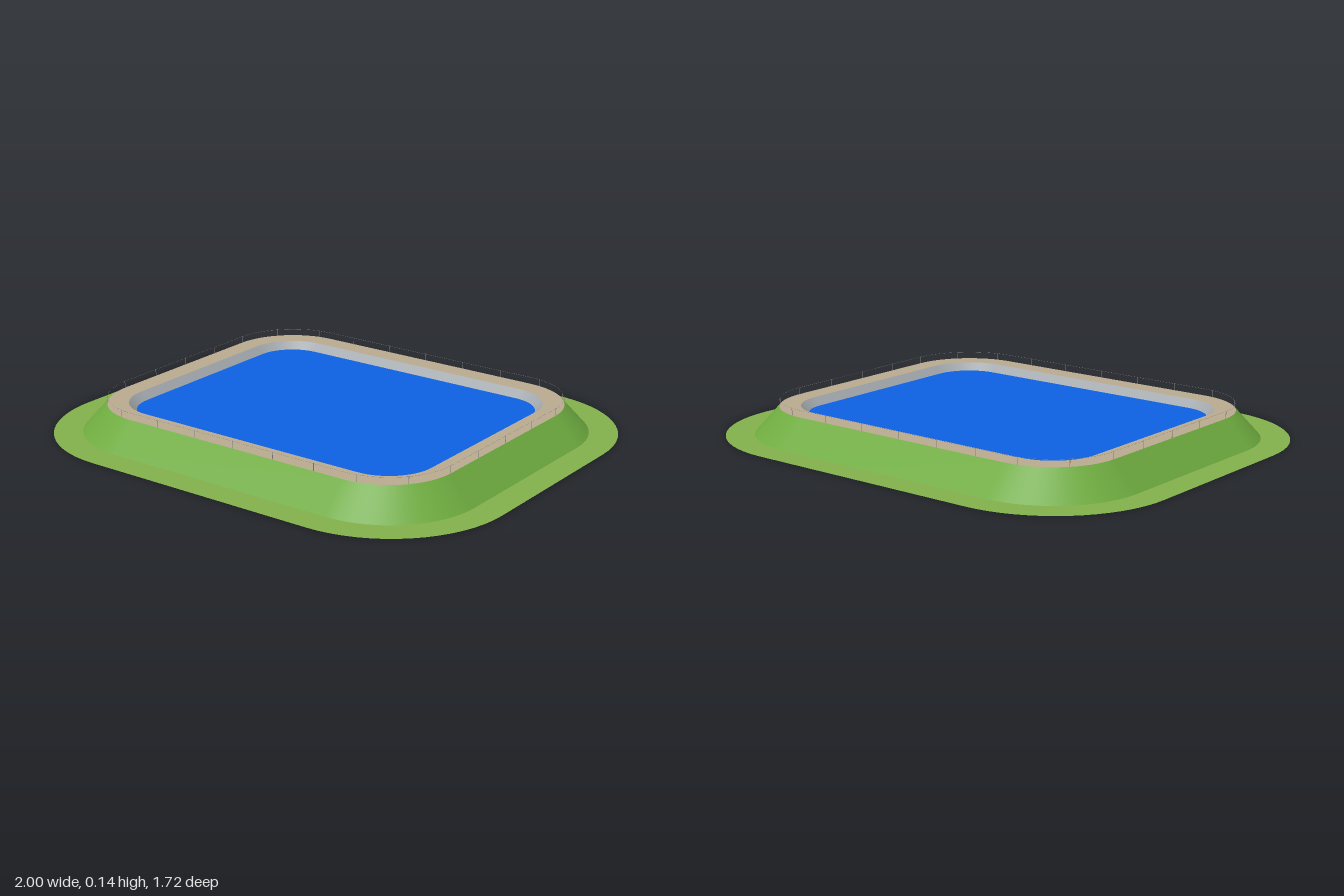
import * as THREE from 'three';

const CX = 0.51, CZ = 0.37;   // corner centres shared by every rounded outline
const STEPS = 16;             // segments per corner

// Rounded rectangle outline at height y, offset r from the corner centres
function outline(r, y) {
  const pts = [];
  [[1, 1], [-1, 1], [-1, -1], [1, -1]].forEach(([sx, sz], q) => {
    for (let i = 0; i <= STEPS; i++) {
      const a = (q + i / STEPS) * Math.PI / 2;
      pts.push(new THREE.Vector3(sx * CX + r * Math.cos(a), y, sz * CZ + r * Math.sin(a)));
    }
  });
  return pts;
}

function material(color) {
  return new THREE.MeshStandardMaterial({ color, side: THREE.DoubleSide });
}

// Closed strip between an outer and an inner outline, facing up
function band(name, color, [r0, y0], [r1, y1]) {
  const outer = outline(r0, y0), inner = outline(r1, y1), n = outer.length;
  const geo = new THREE.BufferGeometry().setFromPoints([...outer, ...inner]);
  const index = [];
  for (let i = 0; i < n; i++) {
    const j = (i + 1) % n;
    index.push(i, n + i, j, j, n + i, n + j);
  }
  geo.setIndex(index);
  geo.computeVertexNormals();
  const mesh = new THREE.Mesh(geo, material(color));
  mesh.name = name;
  return mesh;
}

// Flat filled outline, facing up
function sheet(name, color, r, y) {
  const shape = new THREE.Shape(outline(r, 0).map(p => new THREE.Vector2(p.x, -p.z)));
  const geo = new THREE.ShapeGeometry(shape).rotateX(-Math.PI / 2).translate(0, y, 0);
  const mesh = new THREE.Mesh(geo, material(color));
  mesh.name = name;
  return mesh;
}

// Hairline posts and wire along the outer edge of the path
function fence(r, base, height, count) {
  const group = new THREE.Group();
  group.name = 'fence';
  const path = new THREE.CurvePath();
  const pts = outline(r, base);
  pts.forEach((p, i) => path.add(new THREE.LineCurve3(p, pts[(i + 1) % pts.length])));
  const mat = material(0x8a8a8a);
  const postGeo = new THREE.CylinderGeometry(0.001, 0.001, height, 6).translate(0, height / 2, 0);
  for (let i = 0; i < count; i++) {
    const post = new THREE.Mesh(postGeo, mat);
    post.name = 'fencePost';
    post.position.copy(path.getPointAt(i / count));
    group.add(post);
  }
  const wire = new THREE.Mesh(new THREE.TubeGeometry(path, 240, 0.0004, 4, true), mat);
  wire.name = 'fenceWire';
  wire.position.y = height - 0.002;
  group.add(wire);
  return group;
}

export function createModel() {
  const model = new THREE.Group();
  model.name = 'pond';
  model.add(
    band('grassVerge', 0x82b04c, [0.49, 0], [0.375, 0]),
    band('outerBank', 0x6fac40, [0.375, 0], [0.275, 0.11]),
    band('path', 0xb8a98f, [0.275, 0.11], [0.19, 0.11]),
    band('innerLining', 0xa3a9ae, [0.19, 0.11], [0.08, 0]),
    sheet('pondFloor', 0xa3a9ae, 0.08, 0),
    sheet('water', 0x0c60e0, 0.16, 0.08),
    fence(0.273, 0.11, 0.03, 28),
  );
  return model;
}
